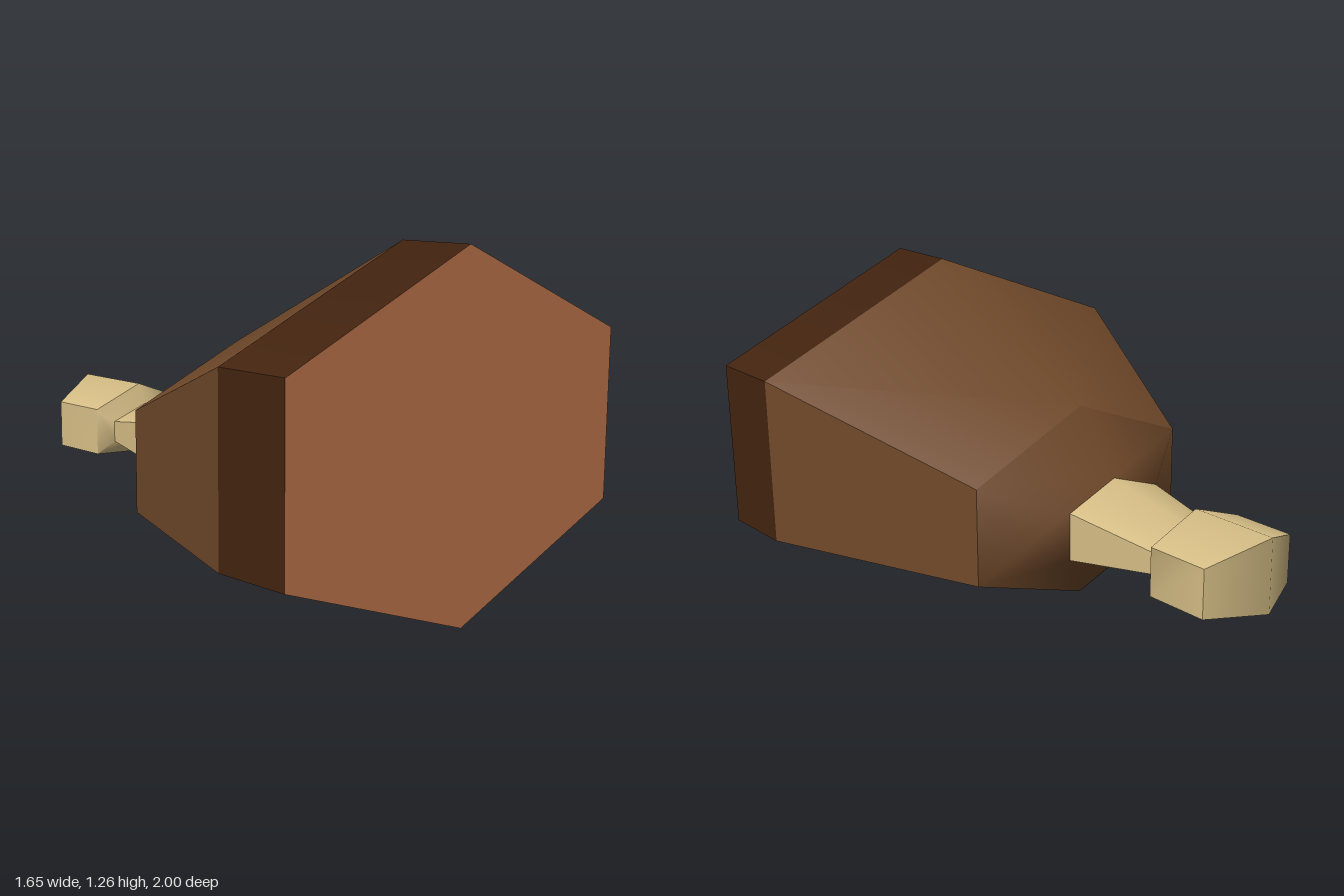
import * as THREE from 'three';
import { toCreasedNormals } from 'three/addons/utils/BufferGeometryUtils.js';

const material = (name, color) => {
  const m = new THREE.MeshStandardMaterial({ color });
  m.name = name;
  return m;
};

// Hexagonal section: z, half width, heights of crest, upper side, lower side, keel, and z of crest and keel
function ring([z, w, top, upper, lower, bottom, zMid = z]) {
  return [[0, top, zMid], [w, upper, z], [w, lower, z], [0, bottom, zMid], [-w, lower, z], [-w, upper, z]];
}

// Skin through sections ordered front to back, with an optional back cap
function loft(sections, creaseDegrees, capBack = false) {
  const rings = sections.map(ring);
  const pos = [];
  const tri = (...points) => points.forEach((p) => pos.push(...p));
  for (let s = 0; s < rings.length - 1; s++) {
    for (let i = 0; i < 6; i++) {
      const j = (i + 1) % 6;
      const a = rings[s][i], b = rings[s][j], c = rings[s + 1][j], d = rings[s + 1][i];
      // mirrored diagonals keep the two halves symmetric
      if (i < 3) { tri(a, b, d); tri(b, c, d); } else { tri(a, b, c); tri(a, c, d); }
    }
  }
  if (capBack) {
    const r = rings[rings.length - 1];
    for (let i = 1; i < 5; i++) tri(r[0], r[i], r[i + 1]);
  }
  const geometry = new THREE.BufferGeometry();
  geometry.setAttribute('position', new THREE.Float32BufferAttribute(pos, 3));
  return toCreasedNormals(geometry, THREE.MathUtils.degToRad(creaseDegrees));
}

export function createModel() {
  const group = new THREE.Group();
  group.name = 'ham';
  const skin = material('roasted brown', 0x70492a);
  const rind = material('dark rind', 0x42230f);
  const meat = material('pink meat', 0xcb7d51);
  const bone = material('bone cream', 0xd5bd85);

  const add = (name, geometry, mat) => {
    const mesh = new THREE.Mesh(geometry, mat);
    mesh.name = name;
    group.add(mesh);
  };

  const front = [1, 0.825, 1.265, 0.93, 0.3, 0];
  const rindBack = [0.72, ...front.slice(1)];
  const shoulder = [-0.08, 0.49, 0.85, 0.65, 0.28, 0.11];
  const boneStart = [-0.26, 0.215, 0.62, 0.54, 0.36, 0.345];
  const knob = boneStart.slice(1);

  // Cut face at the front
  const outline = new THREE.Shape(ring(front).map(([x, y]) => new THREE.Vector2(x, y)));
  add('cutFace', new THREE.ShapeGeometry(outline).translate(0, 0, 1), meat);

  // Rind band, tapering body and rounded shoulder
  add('rindBand', loft([front, rindBack], 50), rind);
  add('body', loft([rindBack, shoulder], 50), skin);
  add('shoulder', loft([shoulder, boneStart], 80), skin);

  // Bone with a pinched neck and a pointed knob
  add('bone', loft([
    boneStart,
    [-0.62, 0.16, 0.545, 0.49, 0.41, 0.405],
    [-0.66, ...knob],
    [-0.9, ...knob, -1],
  ], 55, true), bone);

  return group;
}
